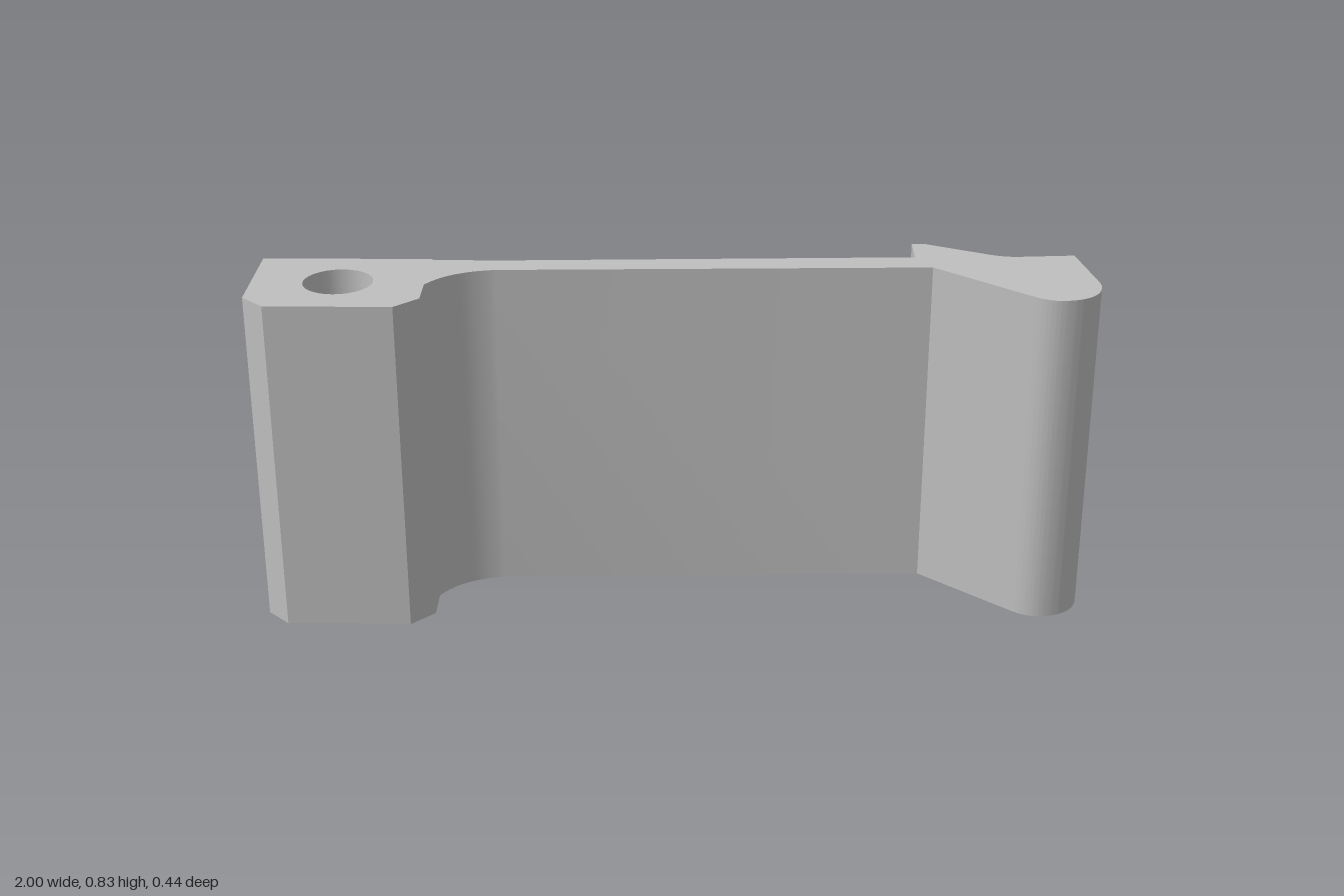
import * as THREE from 'three';
import { toCreasedNormals } from 'three/addons/utils/BufferGeometryUtils.js';

const HEIGHT = 0.83;

export function createModel() {
  const group = new THREE.Group();
  group.name = 'latchLever';
  const grey = new THREE.MeshStandardMaterial({ color: 0xbfbfbf });
  grey.name = 'grey';

  // Outline drawn in plan; helpers take (x, z) and flip z for the extrusion
  const outline = new THREE.Shape();
  const lines = (...points) => points.forEach(([x, z]) => outline.lineTo(x, -z));
  const curve = (cx, cz, x, z) => outline.quadraticCurveTo(cx, -cz, x, -z);

  // Chamfered pivot block, front side
  outline.moveTo(-1, 0.098);
  lines([-1, 0.167], [-0.945, 0.222], [-0.645, 0.222], [-0.59, 0.167], [-0.59, 0.077]);
  // Fillet into the thin arm
  curve(-0.545, -0.007, -0.435, -0.024);
  // Arm front, then sloping finger grip with rounded end
  lines([0.615, -0.055], [0.83, 0.137]);
  curve(0.865, 0.169, 0.905, 0.163);
  curve(0.97, 0.153, 0.99, 0.1);
  curve(1.003, 0.065, 0.995, 0.03);
  lines([0.966, -0.143]);
  // Grip back, hook and arm back
  lines([0.84, -0.133]);
  curve(0.8, -0.128, 0.76, -0.147);
  lines([0.61, -0.222], [0.578, -0.222], [0.578, -0.126], [-0.41, -0.091],
    [-0.585, -0.091], [-0.592, -0.098], [-1, -0.098]);
  outline.closePath();

  // Pivot pin hole
  const hole = new THREE.Path();
  hole.absarc(-0.795, -0.06, 0.083, 0, Math.PI * 2, true);
  outline.holes.push(hole);

  const geometry = new THREE.ExtrudeGeometry(outline, {
    depth: HEIGHT, bevelEnabled: false, curveSegments: 14,
  });
  geometry.rotateX(-Math.PI / 2);
  const lever = new THREE.Mesh(toCreasedNormals(geometry, 0.4), grey);
  lever.name = 'lever';
  group.add(lever);
  return group;
}
